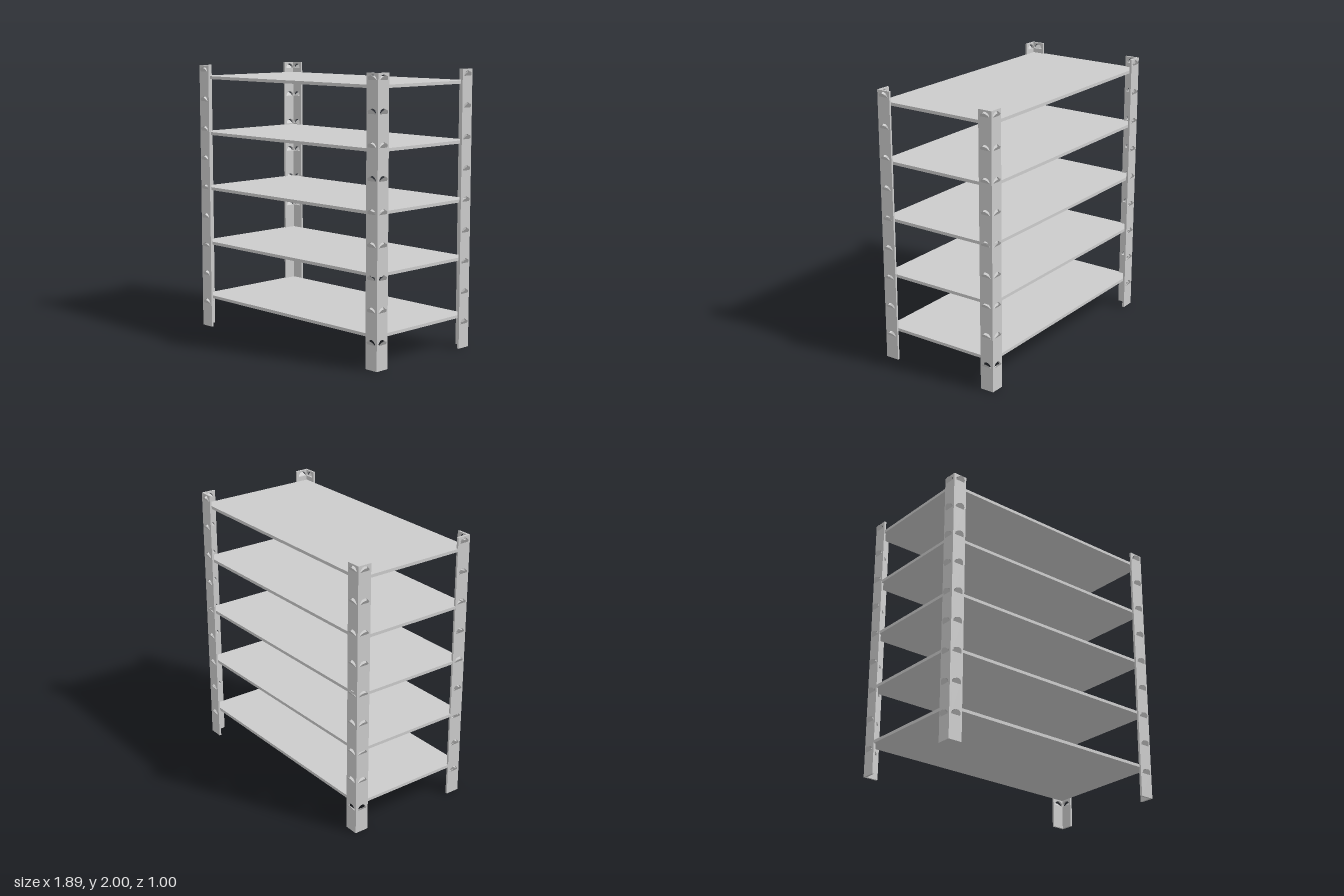
import * as THREE from 'three';

const HALF_X = 0.925, HALF_Z = 0.48, HEIGHT = 2;
const FLANGE = 0.105, THICK = 0.015;
const SLOT_R = 0.036, SLOT_START = 0.177, SLOT_PITCH = 0.222, SLOT_COUNT = 9;
const TONGUE_TILT = 0.6;

export function createModel() {
  const model = new THREE.Group();
  model.name = 'shelvingUnit';
  const metal = new THREE.MeshStandardMaterial({ color: 0xcccccc });
  const sheet = new THREE.MeshStandardMaterial({ color: 0xcccccc, side: THREE.DoubleSide });

  const slotHeights = Array.from({ length: SLOT_COUNT }, (_, i) => SLOT_START + i * SLOT_PITCH);

  // Post flange: flat strip with half-round slots, outer face at z = 0
  const strip = new THREE.Shape();
  strip.moveTo(-FLANGE / 2, 0);
  strip.lineTo(FLANGE / 2, 0);
  strip.lineTo(FLANGE / 2, HEIGHT);
  strip.lineTo(-FLANGE / 2, HEIGHT);
  strip.closePath();
  for (const y of slotHeights) {
    const slot = new THREE.Path();
    slot.absarc(0, y, SLOT_R, 0, Math.PI, false);
    slot.closePath();
    strip.holes.push(slot);
  }
  const flangeGeo = new THREE.ExtrudeGeometry(strip, { depth: THICK, bevelEnabled: false, curveSegments: 16 });
  flangeGeo.translate(0, 0, -THICK);

  // Tongue: half disc hinged on its straight lower edge and bent outward
  const halfDisc = new THREE.Shape();
  halfDisc.absarc(0, 0, SLOT_R, 0, Math.PI, false);
  halfDisc.closePath();
  const tongueGeo = new THREE.ShapeGeometry(halfDisc, 16);
  tongueGeo.rotateX(TONGUE_TILT);

  function makeFlange(name) {
    const flange = new THREE.Group();
    flange.name = name;
    const plate = new THREE.Mesh(flangeGeo, metal);
    plate.name = 'flangePlate';
    flange.add(plate);
    for (const y of slotHeights) {
      const tongue = new THREE.Mesh(tongueGeo, sheet);
      tongue.name = 'slotTongue';
      tongue.position.y = y;
      flange.add(tongue);
    }
    return flange;
  }

  // Four angle posts, each with two flanges meeting at the outer corner
  for (const sx of [-1, 1]) {
    for (const sz of [-1, 1]) {
      const post = new THREE.Group();
      post.name = (sz > 0 ? 'front' : 'back') + (sx > 0 ? 'Left' : 'Right') + 'Post';

      const face = makeFlange('frontOrBackFlange');
      face.position.set(sx * (HALF_X - FLANGE / 2), 0, sz * HALF_Z);
      face.rotation.y = sz > 0 ? 0 : Math.PI;

      const side = makeFlange('sideFlange');
      side.position.set(sx * HALF_X, 0, sz * (HALF_Z - FLANGE / 2));
      side.rotation.y = sx * Math.PI / 2;

      post.add(face, side);
      model.add(post);
    }
  }

  // Five shelves, reaching the outer post face on the -x side
  const shelfGeo = new THREE.BoxGeometry(1.83, 0.022, 2 * (HALF_Z - THICK));
  for (let i = 0; i < 5; i++) {
    const shelf = new THREE.Mesh(shelfGeo, metal);
    shelf.name = 'shelf' + (i + 1);
    shelf.position.set(-0.009, 0.233 + i * 0.419, 0);
    model.add(shelf);
  }
  return model;
}
